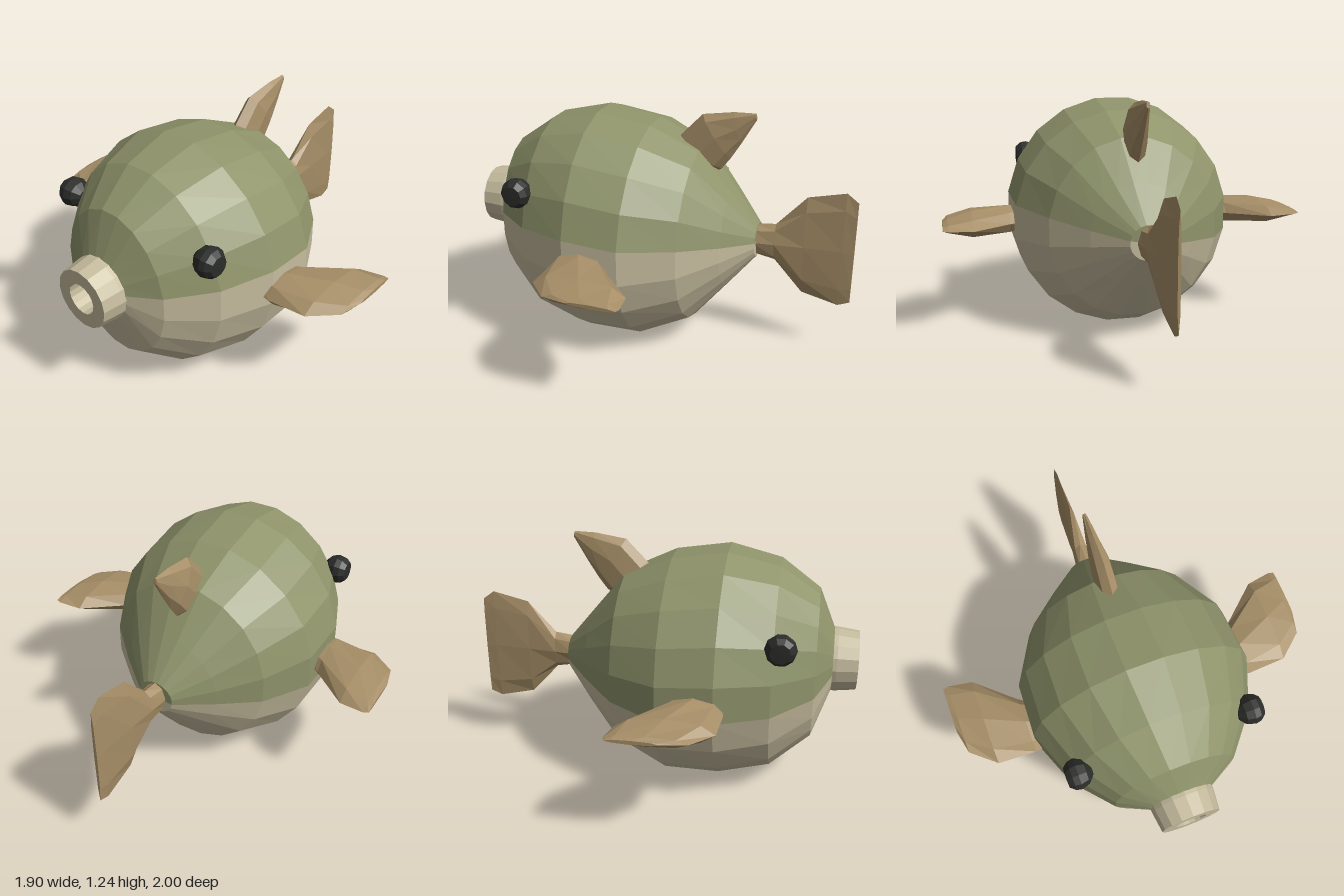
import * as THREE from 'three';

const mat = (name, color, side = THREE.FrontSide) => {
  const m = new THREE.MeshStandardMaterial({ color, flatShading: true, side });
  m.name = name;
  return m;
};

// Joins rings of points into a flat-shaded surface, using columns from..to
function loft(rings, from, to, capped) {
  const pos = [];
  const n = rings[0].length;
  const tri = (...pts) => pts.forEach((p) => pos.push(p.x, p.y, p.z));
  for (let i = 0; i < rings.length - 1; i++) {
    for (let j = from; j < to; j++) {
      const a = rings[i][j % n], b = rings[i][(j + 1) % n];
      const c = rings[i + 1][j % n], d = rings[i + 1][(j + 1) % n];
      tri(a, c, b);
      tri(b, c, d);
    }
  }
  if (capped) {
    const first = rings[0], last = rings[rings.length - 1];
    for (let j = 1; j < n - 1; j++) {
      tri(first[0], first[j], first[j + 1]);
      tri(last[0], last[j + 1], last[j]);
    }
  }
  const g = new THREE.BufferGeometry();
  g.setAttribute('position', new THREE.Float32BufferAttribute(pos, 3));
  g.computeVertexNormals();
  return g;
}

// Elliptical fin section from leading point to trailing point
function finSection(lead, trail, thick, normal) {
  const a = new THREE.Vector3(...lead), b = new THREE.Vector3(...trail);
  const mid = a.clone().add(b).multiplyScalar(0.5);
  const arm = a.clone().sub(mid);
  return Array.from({ length: 8 }, (_, k) => {
    const t = (k * Math.PI) / 4;
    return mid.clone().addScaledVector(arm, Math.cos(t)).addScaledVector(normal, thick * Math.sin(t));
  });
}

export function createModel() {
  const model = new THREE.Group();
  model.name = 'roundFish';
  const green = mat('back green', 0x8f946b);
  const cream = mat('belly cream', 0xc6bc9e);
  const tan = mat('fin tan', 0xa68e67);
  const black = mat('eye black', 0x2b2d2a);
  const add = (name, geometry, material) => {
    const m = new THREE.Mesh(geometry, material);
    m.name = name;
    model.add(m);
    return m;
  };

  // Body rings: z, centre height, half width, half height
  const SIDES = 20;
  const rings = [
    [0.89, 0.64, 0.001, 0.001], [0.875, 0.637, 0.165, 0.165],
    [0.79, 0.61, 0.32, 0.395], [0.59, 0.598, 0.49, 0.549],
    [0.33, 0.602, 0.592, 0.605], [0.05, 0.58, 0.58, 0.582],
    [-0.2, 0.578, 0.44, 0.468], [-0.37, 0.576, 0.262, 0.26],
    [-0.51, 0.576, 0.095, 0.088], [-0.51, 0.576, 0.001, 0.001],
  ].map(([z, cy, rx, ry]) => Array.from({ length: SIDES }, (_, k) => {
    const t = ((k + 0.5) / SIDES) * Math.PI * 2;
    return new THREE.Vector3(rx * Math.cos(t), cy + ry * Math.sin(t), z);
  }));
  add('back', loft(rings, 0, 10, false), green);
  add('belly', loft(rings, 10, 20, false), cream);

  // Tubular mouth with a dark throat
  const mouthProfile = [[0.08, 0.87], [0.165, 0.87], [0.165, 0.895], [0.152, 1], [0.08, 1], [0.08, 0.87]]
    .map(([r, z]) => new THREE.Vector2(r, z));
  const mouth = add('mouth', new THREE.LatheGeometry(mouthProfile, 16).rotateX(Math.PI / 2), cream);
  mouth.position.y = 0.638;
  const throat = add('throat', new THREE.CircleGeometry(0.085, 16), green);
  throat.position.set(0, 0.638, 0.897);

  // Tail fin
  const left = new THREE.Vector3(-1, 0, 0);
  const tail = [
    [-0.49, 0.66, 0.495, 0.06], [-0.6, 0.675, 0.475, 0.045], [-0.75, 0.84, 0.31, 0.03],
    [-0.94, 0.885, 0.265, 0.015], [-1, 0.84, 0.29, 0.008],
  ].map(([z, top, low, h]) => finSection([0, top, z], [0, low, z], h, left));
  add('tailFin', loft(tail, 0, 8, true), tan);

  // Dorsal fin
  const dorsal = [
    [1.06, -0.06, 0.91, -0.26, 0.05], [1.1, -0.09, 0.94, -0.305, 0.055],
    [1.215, -0.2, 1.0, -0.35, 0.05], [1.24, -0.36, 1.08, -0.4, 0.03],
    [1.243, -0.47, 1.21, -0.475, 0.01],
  ].map(([y1, z1, y2, z2, h]) => finSection([0, y1, z1], [0, y2, z2], h, left));
  add('dorsalFin', loft(dorsal, 0, 8, true), tan);

  // Side fins and eyes, mirrored
  const eyeProfile = [[0, -0.07], [0.03, -0.065], [0.065, -0.035], [0.078, 0.005], [0.072, 0.035], [0.05, 0.062], [0, 0.064]]
    .map(([r, y]) => new THREE.Vector2(r, y));
  for (const s of [1, -1]) {
    const side = s > 0 ? 'left' : 'right';
    const up = new THREE.Vector3(0, s, 0);
    const fin = [
      [0.5, 0.37, 0.15, 0.565, 0.07], [0.6, 0.383, 0.085, 0.565, 0.073],
      [0.8, 0.375, -0.09, 0.575, 0.06], [0.925, 0.27, -0.108, 0.585, 0.025],
      [0.952, 0.15, -0.1, 0.588, 0.01],
    ].map(([x, z1, z2, y, h]) => finSection([s * x, y, z1], [s * x, y, z2], h, up));
    add(side + 'SideFin', loft(fin, 0, 8, true), tan);

    const eye = add(side + 'Eye', new THREE.LatheGeometry(eyeProfile, 10), black);
    eye.rotation.z = (-s * Math.PI) / 2;
    eye.position.set(s * 0.443, 0.855, 0.625);
  }
  return model;
}
